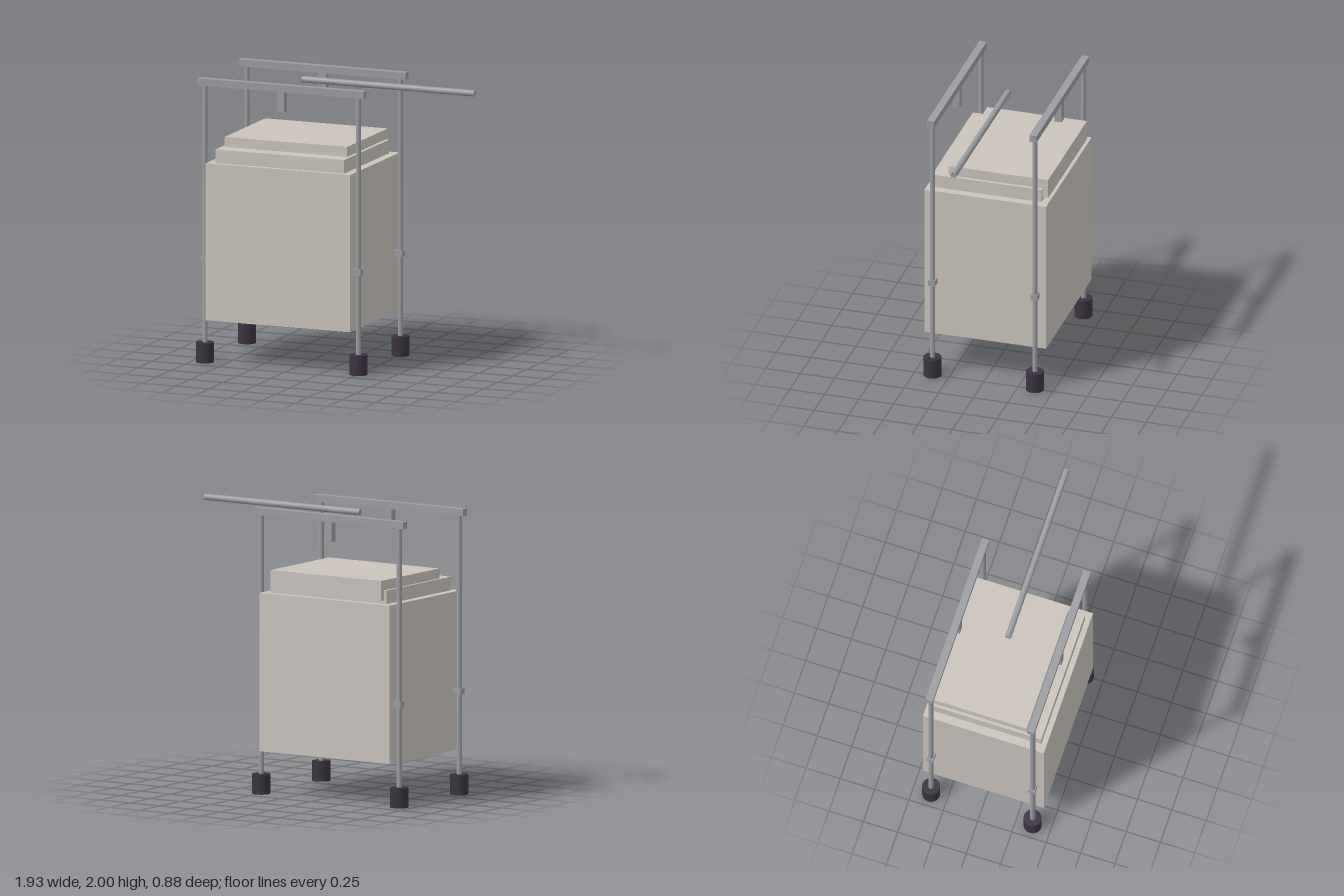
import * as THREE from 'three';

export function createModel() {
  const model = new THREE.Group();
  model.name = 'framedCabinet';
  const mat = (name, color) => {
    const m = new THREE.MeshStandardMaterial({ color });
    m.name = name;
    return m;
  };
  const beige = mat('beigeCasing', 0xc9c3bc);
  const steel = mat('greySteel', 0x9b9da2);
  const rubber = mat('darkRubber', 0x3a3340);

  // Box given by its lower and upper limits on each axis
  const box = (name, material, [x0, x1], [y0, y1], [z0, z1]) => {
    const mesh = new THREE.Mesh(new THREE.BoxGeometry(x1 - x0, y1 - y0, z1 - z0), material);
    mesh.position.set((x0 + x1) / 2, (y0 + y1) / 2, (z0 + z1) / 2);
    mesh.name = name;
    model.add(mesh);
  };
  // Upright cylinder between two heights
  const upright = (name, material, r, x, z, y0, y1) => {
    const mesh = new THREE.Mesh(new THREE.CylinderGeometry(r, r, y1 - y0, 32), material);
    mesh.position.set(x, (y0 + y1) / 2, z);
    mesh.name = name;
    model.add(mesh);
  };

  // Casing and stepped lid
  box('casing', beige, [-0.87, 0.215], [0.307, 1.415], [-0.44, 0.44]);
  box('lowerLid', beige, [-0.813, 0.156], [1.415, 1.51], [-0.39, 0.402]);

  // Upper lid with a flap hooked down over the back of the lower lid
  const profile = new THREE.Shape([
    [-0.29, 1.51], [0.39, 1.51], [0.39, 1.44], [0.43, 1.44], [0.43, 1.58], [-0.29, 1.58],
  ].map(([a, b]) => new THREE.Vector2(a, b)));
  const lid = new THREE.Mesh(
    new THREE.ExtrudeGeometry(profile, { depth: 0.922, bevelEnabled: false }), beige);
  lid.rotation.y = Math.PI / 2;
  lid.position.x = -0.792;
  lid.name = 'upperLid';
  model.add(lid);

  // Frame: front and back rails, hangers, posts, clamps and feet
  for (const z of [0.37, -0.37]) {
    const depth = [z - 0.026, z + 0.026];
    box('topRail', steel, [-0.953, 0.298], [1.95, 2], depth);
    box('hanger', steel, [-0.354, -0.301], [1.81, 1.95], depth);
    for (const x of [-0.905, 0.249]) {
      upright('post', steel, 0.018, x, z, 0.14, 1.95);
      upright('foot', rubber, 0.063, x, z, 0, 0.14);
    }
    box('clamp', steel, [-0.93, -0.87], [0.7, 0.743], [z - 0.024, z + 0.024]);
    box('clamp', steel, [0.215, 0.273], [0.7, 0.743], [z - 0.024, z + 0.024]);
  }

  // Loose round bar lying along x between the rails
  const bar = new THREE.Mesh(new THREE.CylinderGeometry(0.022, 0.022, 1.296, 32), steel);
  bar.rotation.z = Math.PI / 2;
  bar.position.set(0.319, 1.97, 0);
  bar.name = 'crossBar';
  model.add(bar);

  return model;
}
